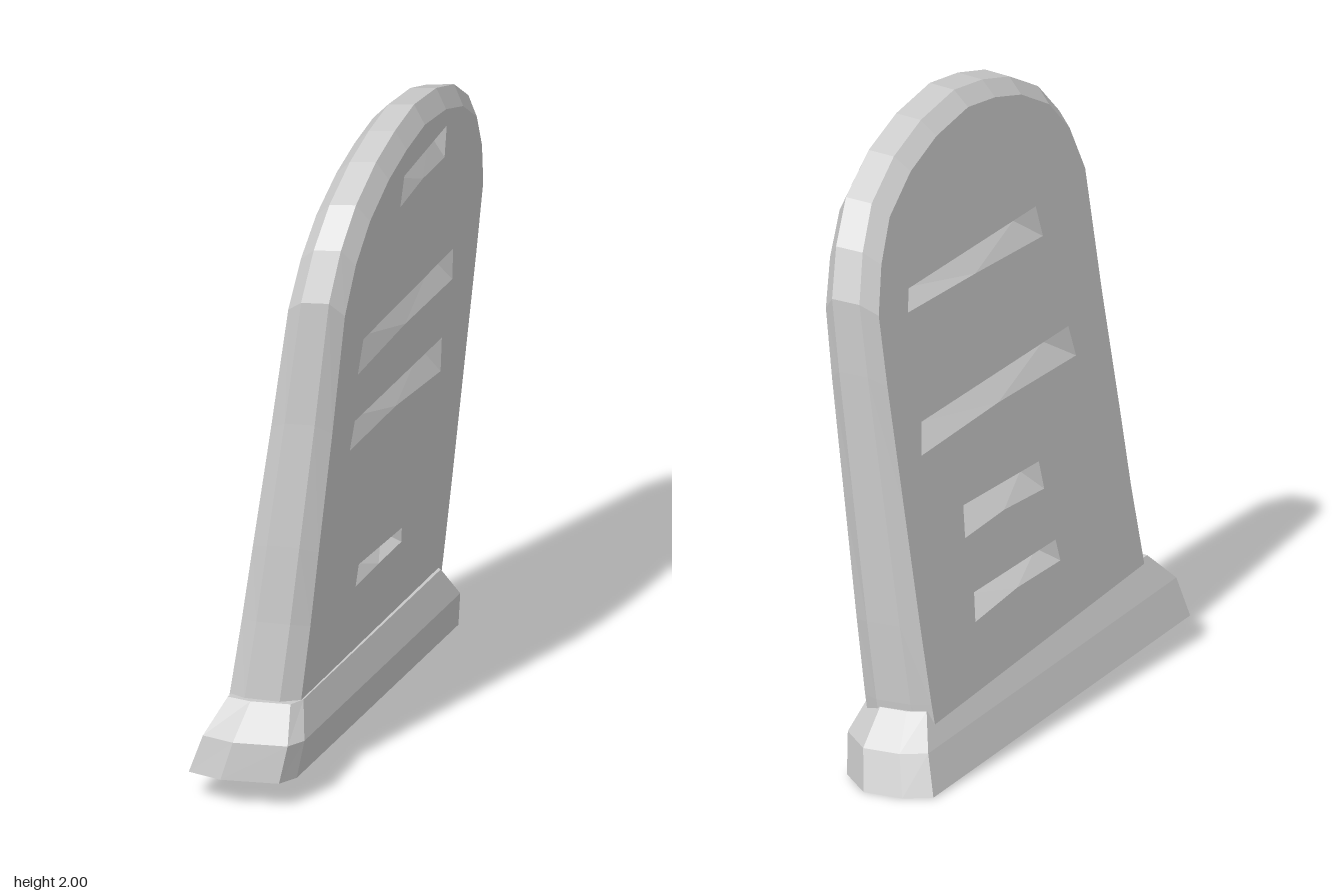
import * as THREE from 'three';

// Turns a list of triangle corners into a flat-shaded mesh, after bending each corner by a rule
function makeMesh(name, corners, warp) {
  const geometry = new THREE.BufferGeometry().setFromPoints(corners.map(warp));
  geometry.computeVertexNormals();
  const mesh = new THREE.Mesh(geometry, new THREE.MeshStandardMaterial({ color: 0xcccccc, flatShading: true }));
  mesh.name = name;
  return mesh;
}

const quad = (a, b, c, d) => [a, b, c, a, c, d];

// Skin between stacked rings (counter-clockwise seen from the last ring)
function loft(rings) {
  const out = [];
  for (let k = 0; k + 1 < rings.length; k++) {
    const a = rings[k], b = rings[k + 1];
    a.forEach((p, i) => {
      const j = (i + 1) % a.length;
      out.push(...quad(p, a[j], b[j], b[i]));
    });
  }
  return out;
}

// Flat cap with optional holes, at depth w
function cap(ring, holes, w) {
  const shape = new THREE.Shape(ring.map(p => new THREE.Vector2(p.x, p.y)));
  holes.forEach(h => shape.holes.push(new THREE.Path(h.map(p => new THREE.Vector2(p.x, p.y)))));
  const g = new THREE.ShapeGeometry(shape).toNonIndexed(), pos = g.attributes.position, out = [];
  for (let i = 0; i < pos.count; i++) out.push(new THREE.Vector3(pos.getX(i), pos.getY(i), w));
  return out;
}

// Reverse the winding of a triangle list
function flip(list) {
  const out = [];
  for (let i = 0; i < list.length; i += 3) out.push(list[i], list[i + 2], list[i + 1]);
  return out;
}

// Rim of a chiselled groove: centre, half length, half heights at both ends, drop along its length
const rimOf = ([u, v, l, h0, h1, drop], w) => [
  [u - l, v + drop - h0], [u, v - h0 * 0.8], [u + l, v - drop - h1],
  [u + l * 0.95, v - drop + h1], [u - l * 0.95, v + drop + h0],
].map(([x, y]) => new THREE.Vector3(x, y, w));

// Sloping walls of the groove, meeting in a deep line near its upper edge
function pocket([u, v, l, h0, h1, drop], rim, w) {
  const [p0, m, p1, p2, p3] = rim;
  const f0 = new THREE.Vector3(u - l * 0.75, v + drop + h0 * 0.5, w * 0.62);
  const f1 = new THREE.Vector3(u + l * 0.88, v - drop + h1 * 0.5, w * 0.45);
  return [p0, m, f0, m, f1, f0, m, p1, f1, p1, p2, f1, ...quad(p2, p3, f0, f1), p3, p0, f0];
}

// Slab silhouette as (-z, y), counter-clockwise seen from +x
const OUTLINE = [
  [-0.66, 0.18], [0.64, 0.12], [0.65, 0.25], [0.66, 0.5], [0.67, 0.9], [0.68, 1.3], [0.68, 1.53],
  [0.63, 1.68], [0.55, 1.81], [0.4, 1.91], [0.23, 1.97], [0.03, 2.0], [-0.13, 1.98], [-0.28, 1.94],
  [-0.43, 1.86], [-0.53, 1.75], [-0.59, 1.6], [-0.6, 1.2], [-0.62, 0.8], [-0.63, 0.55], [-0.65, 0.3],
];

const GROOVES = {
  right: [
    [0.06, 1.785, 0.19, 0.05, 0.055, -0.005], [0.03, 1.32, 0.41, 0.055, 0.055, 0.015],
    [0.015, 1.045, 0.4, 0.045, 0.06, 0.03], [0, 0.52, 0.2, 0.035, 0.025, 0.015],
  ],
  left: [
    [0.1, 1.48, 0.39, 0.05, 0.035, 0], [0.06, 1.06, 0.45, 0.05, 0.05, 0.01],
    [0.1, 0.73, 0.23, 0.045, 0.05, 0], [0.08, 0.47, 0.25, 0.035, 0.045, 0.01],
  ],
};

function headstone() {
  const ring = (w, s, t) => OUTLINE.map(([u, v]) =>
    new THREE.Vector3(0.01 + (u - 0.01) * s, 0.2 + (v - 0.2) * t, w));
  // chamfered rim, with both faces pulled in
  const rings = [ring(-1, 0.955, 0.968), ring(-0.5, 0.995, 0.995), ring(0.5, 1, 1), ring(1, 0.95, 0.965)];
  const tris = loft(rings);
  for (const [side, w] of [['right', 1], ['left', -1]]) {
    const rims = GROOVES[side].map(g => rimOf(g, w));
    const face = cap(w > 0 ? rings[3] : rings[0], rims, w);
    GROOVES[side].forEach((g, i) => face.push(...pocket(g, rims[i], w)));
    tris.push(...(w > 0 ? face : flip(face)));
  }
  // leaning, slightly turned, thinner towards the top
  return makeMesh('headstone', tris, p => {
    const half = 0.11 - 0.018 * (p.y - 0.3);
    return new THREE.Vector3(p.z * half - 0.01 + 0.11 * (p.y - 0.3) + 0.11 * p.x, p.y, -p.x);
  });
}

function plinth() {
  // levels: height, centre x, half width, back end, front end, bulge of the ends
  const levels = [
    [0, -0.04, 0.16, 0.74, 0.75, 0.04], [0.12, -0.01, 0.15, 0.7, 0.74, 0.035], [0.22, -0.005, 0.11, 0.63, 0.65, 0.02],
  ];
  const rings = levels.map(([y, c, h, back, front, bulge]) => [
    [-h, -front], [-h * 0.3, -front - bulge], [h * 0.8, -front - bulge * 0.6], [h, -front + 0.04],
    [h, back - 0.06], [h * 0.3, back + bulge], [-h * 0.5, back + bulge], [-h, back],
  ].map(([a, b]) => new THREE.Vector3(c + a, b, y)));
  const tris = [...loft(rings), ...flip(cap(rings[0], [], 0)), ...cap(rings[2], [], levels[2][0])];
  // turned with the slab and sunk at the back
  return makeMesh('plinth', tris, p =>
    new THREE.Vector3(p.x + 0.11 * p.y, p.z + 0.045 - 0.058 * p.y, -p.y));
}

export function createModel() {
  const group = new THREE.Group();
  group.name = 'gravestone';
  group.add(headstone(), plinth());
  return group;
}
